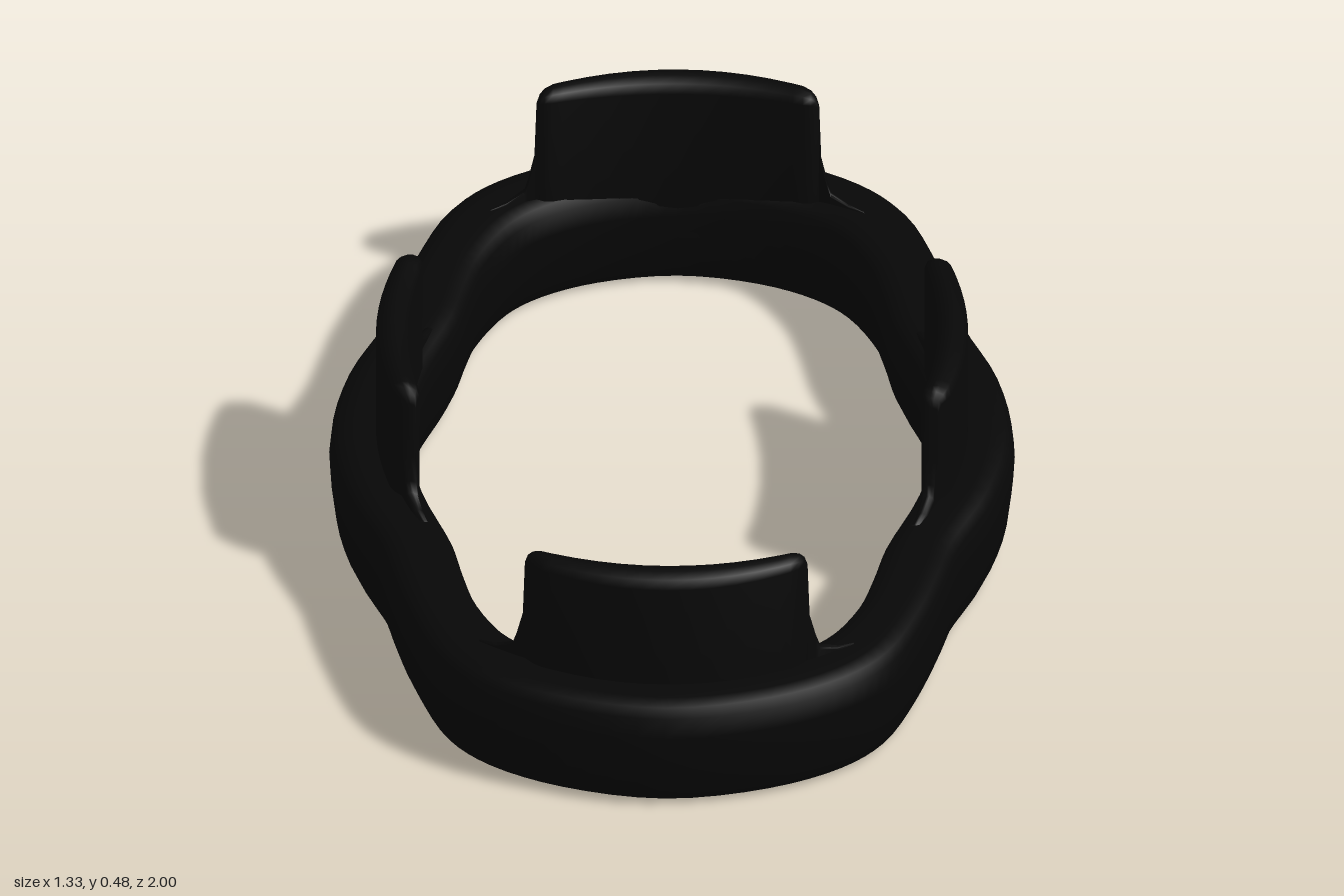
import * as THREE from 'three';
import { toCreasedNormals } from 'three/addons/utils/BufferGeometryUtils.js';

// Skin a row of equal-sized closed cross-sections; closed joins the last to the first.
function loft(sections, closed) {
  const n = sections[0].length, count = sections.length, index = [];
  for (let i = 0; i < (closed ? count : count - 1); i++) {
    for (let j = 0; j < n; j++) {
      const a = i * n + j, b = i * n + (j + 1) % n;
      const k = ((i + 1) % count) * n;
      const c = k + j, d = k + (j + 1) % n;
      index.push(a, b, c, b, d, c);
    }
  }
  const geo = new THREE.BufferGeometry();
  geo.setAttribute('position', new THREE.Float32BufferAttribute(sections.flat(2), 3));
  geo.setIndex(index);
  return toCreasedNormals(geo, 1.1);
}

// Mirror a quarter outline (from +x to +z) into a full closed curve.
function outline(quarter) {
  const half = [...quarter, ...quarter.slice(0, -1).reverse().map(([x, z]) => [-x, z])];
  const full = [...half, ...half.slice(1, -1).reverse().map(([x, z]) => [x, -z])];
  return new THREE.CatmullRomCurve3(full.map(([x, z]) => new THREE.Vector3(x, 0, z)), true);
}

function ringGeometry() {
  const outer = outline([[0.667, 0], [0.635, 0.21], [0.567, 0.39], [0.541, 0.5],
    [0.508, 0.625], [0.447, 0.785], [0.365, 0.877], [0.215, 0.957], [0, 1]]);
  const inner = outline([[0.51, 0], [0.48, 0.2], [0.418, 0.39], [0.395, 0.5],
    [0.368, 0.6], [0.308, 0.708], [0.245, 0.765], [0.145, 0.812], [0, 0.836]]);
  // Rounded section: share of the width from inner to outer edge, height
  const profile = [[0.36, 0], [0.64, 0], [0.82, 0.012], [0.92, 0.045], [0.98, 0.12],
    [1, 0.17], [0.97, 0.213], [0.88, 0.23], [0.7, 0.235], [0.3, 0.235], [0.12, 0.23],
    [0.03, 0.213], [0, 0.17], [0.02, 0.12], [0.08, 0.045], [0.18, 0.012]];
  const sections = [];
  for (let i = 0; i < 128; i++) {
    // Same curve parameter on both outlines keeps the stations paired
    const o = outer.getPoint(i / 128), p = inner.getPoint(i / 128);
    sections.push(profile.map(([u, y]) => [p.x + (o.x - p.x) * u, y, p.z + (o.z - p.z) * u]));
  }
  return loft(sections, true);
}

// Curved upright tab facing +x, with rounded top corners and flared feet
function tabGeometry(innerX, outerX, innerBend, outerBend, halfWidth) {
  const edge = [[0.1, 0.225], [0.09, 0.237], [0.06, 0.242], [0.025, 0.258], [0.018, 0.28],
    [0.006, 0.33], [0.002, 0.45], [-0.004, 0.468], [-0.014, 0.477], [-0.03, 0.481]]
    .map(([d, top]) => [halfWidth + d, top]);
  const stations = edge.map(([t, top]) => [-t, top]);
  for (let i = -5; i <= 5; i++) stations.push([(halfWidth - 0.05) * i / 5, 0.481]);
  stations.push(...edge.reverse());
  const sections = stations.map(([t, top]) => {
    // Thin the tab toward its side edges so they read as rounded
    const inset = 0.014 * THREE.MathUtils.clamp((Math.abs(t) - halfWidth + 0.03) / 0.03, 0, 1) ** 2;
    const a = innerX - innerBend * t * t + inset, b = outerX - outerBend * t * t - inset;
    const r = Math.min((b - a) * 0.4, (top - 0.12) * 0.3);
    return [[a, 0.12], [b, 0.12], [b, top - r], [b - r * 0.3, top - r * 0.3], [b - r, top],
      [a + r, top], [a + r * 0.3, top - r * 0.3], [a, top - r]].map(([x, y]) => [x, y, t]);
  });
  return loft(sections, false);
}

export function createModel() {
  const model = new THREE.Group();
  model.name = 'clipRing';
  const black = new THREE.MeshStandardMaterial({ color: 0x070707 });
  black.name = 'black';

  const add = (name, geometry, turn = 0) => {
    const mesh = new THREE.Mesh(geometry, black);
    mesh.name = name;
    mesh.rotation.y = turn;
    model.add(mesh);
  };

  add('ring', ringGeometry());

  // Four tabs: a wide pair at the ends, a narrower pair at the sides
  const endTab = tabGeometry(0.838, 0.905, 0.75, 1.0, 0.273);
  const sideTab = tabGeometry(0.512, 0.576, 0.5, 0.64, 0.248);
  add('frontTab', endTab, -Math.PI / 2);
  add('backTab', endTab, Math.PI / 2);
  add('leftTab', sideTab);
  add('rightTab', sideTab, Math.PI);
  return model;
}
